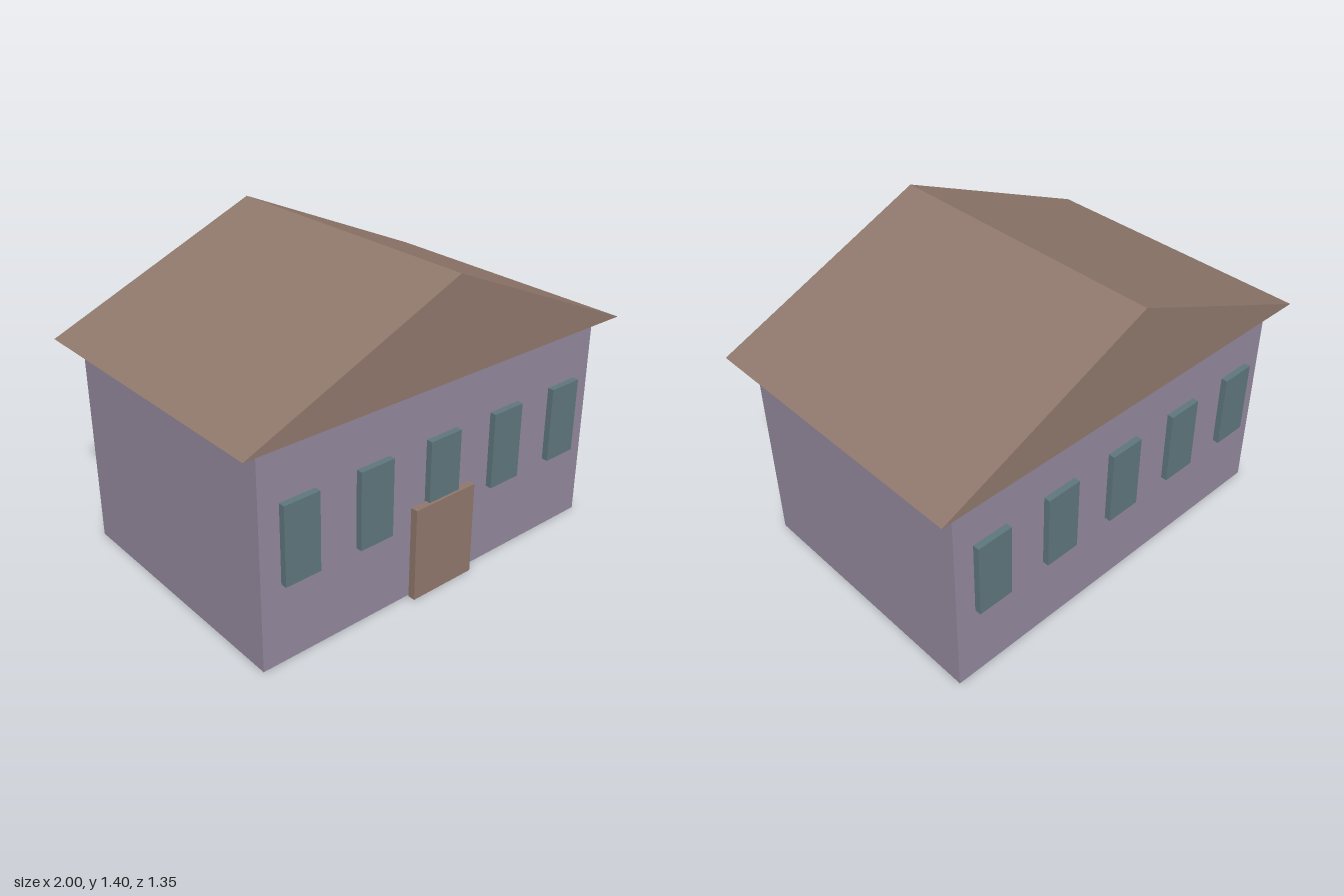
import * as THREE from 'three';

function material(name, color) {
  const m = new THREE.MeshStandardMaterial({ color });
  m.name = name;
  return m;
}

export function createModel() {
  const house = new THREE.Group();
  house.name = 'house';
  const wall = material('mauve wall', 0x92889c);
  const brown = material('brown', 0x8f776b);
  const glass = material('teal glass', 0x5f767d);

  function add(name, geometry, mat, x, y, z) {
    const mesh = new THREE.Mesh(geometry, mat);
    mesh.name = name;
    mesh.position.set(x, y, z);
    house.add(mesh);
  }

  // Main block
  add('walls', new THREE.BoxGeometry(1.81, 0.97, 1.226), wall, 0, 0.485, 0);

  // Gabled roof, a solid prism with the ridge along z
  const gable = new THREE.Shape();
  gable.moveTo(-1, 0);
  gable.lineTo(1, 0);
  gable.lineTo(0, 0.43);
  gable.closePath();
  const roof = new THREE.ExtrudeGeometry(gable, { depth: 1.354, bevelEnabled: false });
  add('roof', roof, brown, 0, 0.97, -0.677);

  // Door, standing just proud of the front wall
  add('door', new THREE.BoxGeometry(0.328, 0.432, 0.034), brown, 0, 0.216, 0.637);

  // Five windows along the front and five along the back
  const pane = new THREE.BoxGeometry(0.166, 0.35, 0.03);
  for (const side of [1, -1]) {
    for (let i = -2; i <= 2; i++) {
      add(side > 0 ? 'frontWindow' : 'backWindow', pane, glass, i * 0.364, 0.535, side * 0.627);
    }
  }

  return house;
}
